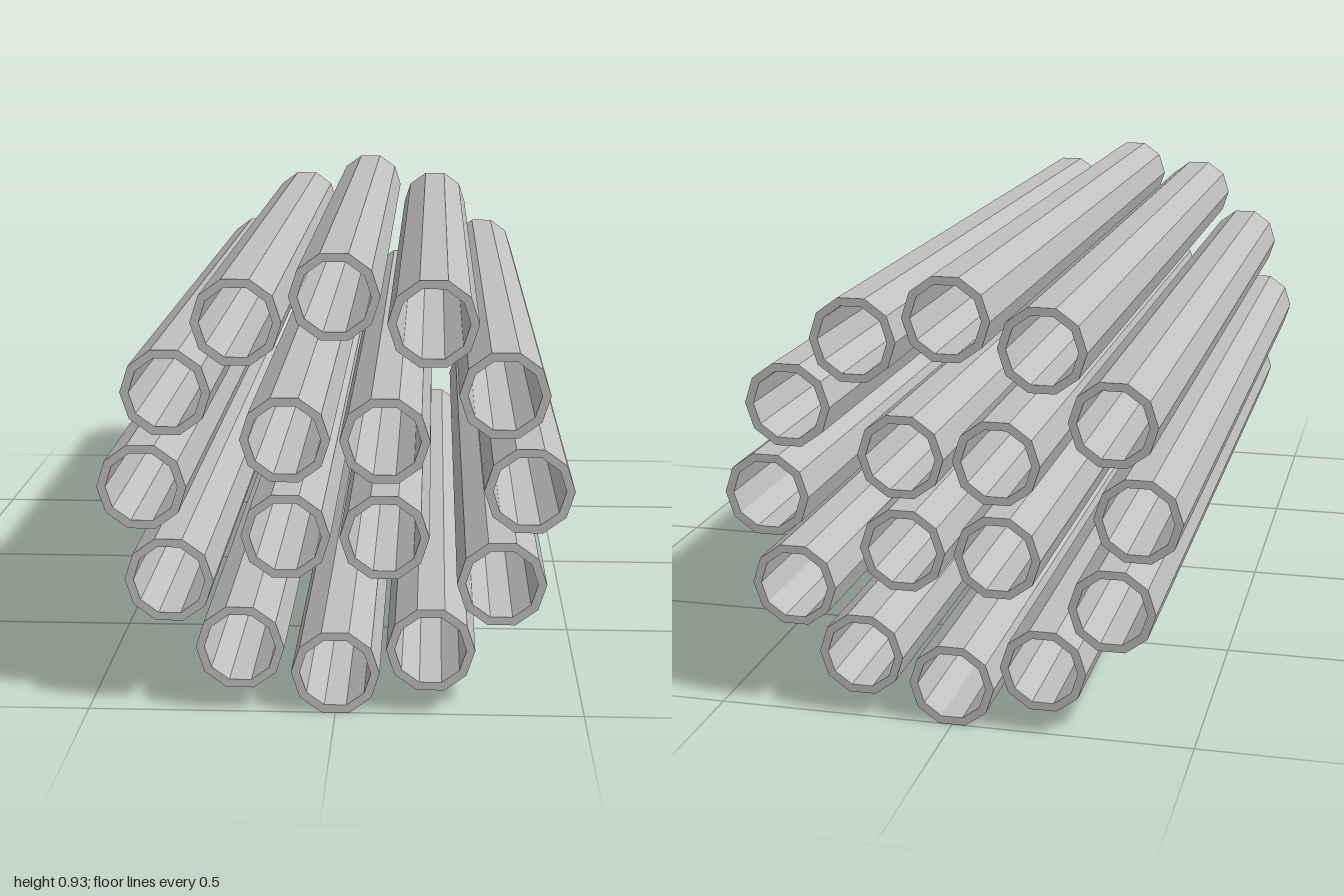
import * as THREE from 'three';

const SIDES = 10;
const OUTER = 0.089;
const INNER = 0.0715;
const LENGTH = 2;
const RING = 0.382;
const CORE = 0.098;
const CENTRE_Y = RING + OUTER * Math.cos(Math.PI / SIDES);

// Regular polygon with a corner on the +x axis
function polygon(radius) {
  return Array.from({ length: SIDES }, (_, i) => {
    const a = (i / SIDES) * Math.PI * 2;
    return new THREE.Vector2(Math.cos(a) * radius, Math.sin(a) * radius);
  });
}

export function createModel() {
  const group = new THREE.Group();
  group.name = 'tubeBundle';

  const material = new THREE.MeshStandardMaterial({ color: 0xc0c0c0, flatShading: true });
  material.name = 'grey';

  // One hollow ten-sided tube along z, shared by every mesh
  const section = new THREE.Shape(polygon(OUTER));
  section.holes.push(new THREE.Path(polygon(INNER)));
  const geometry = new THREE.ExtrudeGeometry(section, { depth: LENGTH, bevelEnabled: false });
  geometry.translate(0, 0, -LENGTH / 2);

  const addTube = (name, x, y) => {
    const tube = new THREE.Mesh(geometry, material);
    tube.name = name;
    tube.position.set(x, CENTRE_Y + y, 0);
    group.add(tube);
  };

  // Outer ring of twelve tubes
  for (let i = 0; i < 12; i++) {
    const a = (i / 12) * Math.PI * 2;
    addTube(`outerTube${i + 1}`, Math.cos(a) * RING, Math.sin(a) * RING);
  }

  // Inner square of four tubes
  for (const [sx, side] of [[1, 'Left'], [-1, 'Right']]) {
    for (const [sy, level] of [[1, 'Upper'], [-1, 'Lower']]) {
      addTube(`inner${level}${side}Tube`, sx * CORE, sy * CORE);
    }
  }

  return group;
}
